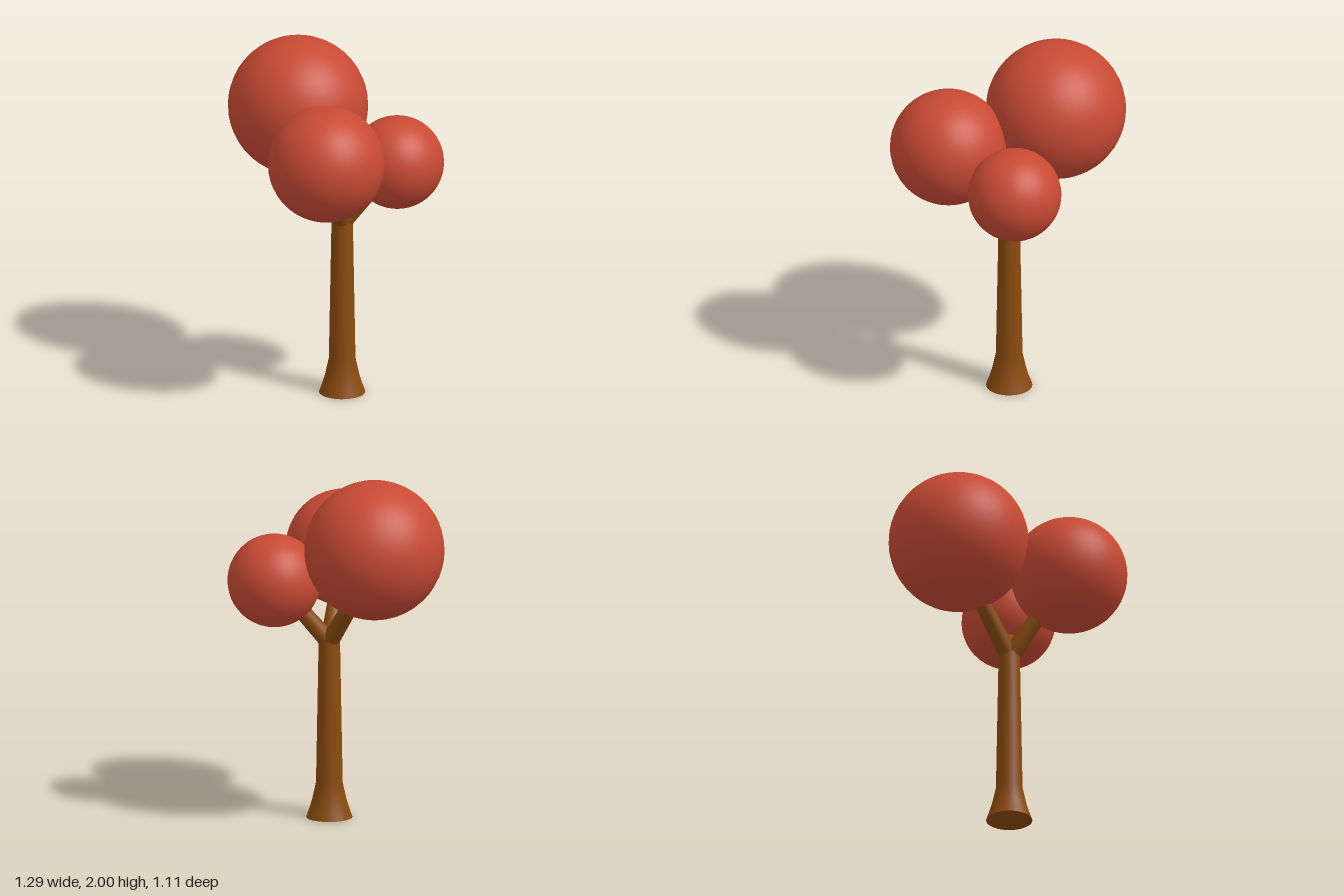
import * as THREE from 'three';

const bark = new THREE.MeshStandardMaterial({ color: 0x8a4b0f });
const leaf = new THREE.MeshStandardMaterial({ color: 0xc84a34 });

// tapered round limb running from a to b
function limb(name, a, b, r0, r1) {
  const dir = b.clone().sub(a);
  const mesh = new THREE.Mesh(new THREE.CylinderGeometry(r1, r0, dir.length(), 24), bark);
  mesh.name = name;
  mesh.position.copy(a).addScaledVector(dir, 0.5);
  mesh.quaternion.setFromUnitVectors(new THREE.Vector3(0, 1, 0), dir.normalize());
  return mesh;
}

export function createModel() {
  const tree = new THREE.Group();
  tree.name = 'tree';
  const tx = 0.125, tz = -0.06;

  // trunk with a flared foot
  const profile = [[0.13, 0], [0.112, 0.05], [0.097, 0.1], [0.075, 0.2], [0.06, 1.02], [0.045, 1.06], [0, 1.075]]
    .map(([r, y]) => new THREE.Vector2(r, y));
  const trunk = new THREE.Mesh(new THREE.LatheGeometry(profile, 32), bark);
  trunk.name = 'trunk';
  trunk.position.set(tx, 0, tz);
  tree.add(trunk);

  // underside of the trunk
  const base = new THREE.Mesh(new THREE.CircleGeometry(0.13, 32), bark);
  base.name = 'trunkBase';
  base.rotation.x = Math.PI / 2;
  base.position.set(tx, 0, tz);
  tree.add(base);

  // each crown ball with the branch that carries it
  const fork = new THREE.Vector3(tx, 1.01, tz);
  const crowns = [
    { name: 'large', center: [-0.252, 1.607, -0.063], r: 0.394, tip: [-0.15, 1.38, -0.06] },
    { name: 'front', center: [0.317, 1.476, 0.229], r: 0.328, tip: [0.25, 1.32, 0.13] },
    { name: 'back', center: [0.327, 1.367, -0.294], r: 0.263, tip: [0.27, 1.27, -0.23] },
  ];
  for (const { name, center, r, tip } of crowns) {
    tree.add(limb(name + 'Branch', fork, new THREE.Vector3(...tip), 0.052, 0.042));
    const ball = new THREE.Mesh(new THREE.SphereGeometry(r, 40, 24), leaf);
    ball.name = name + 'Foliage';
    ball.position.set(...center);
    tree.add(ball);
  }
  return tree;
}
